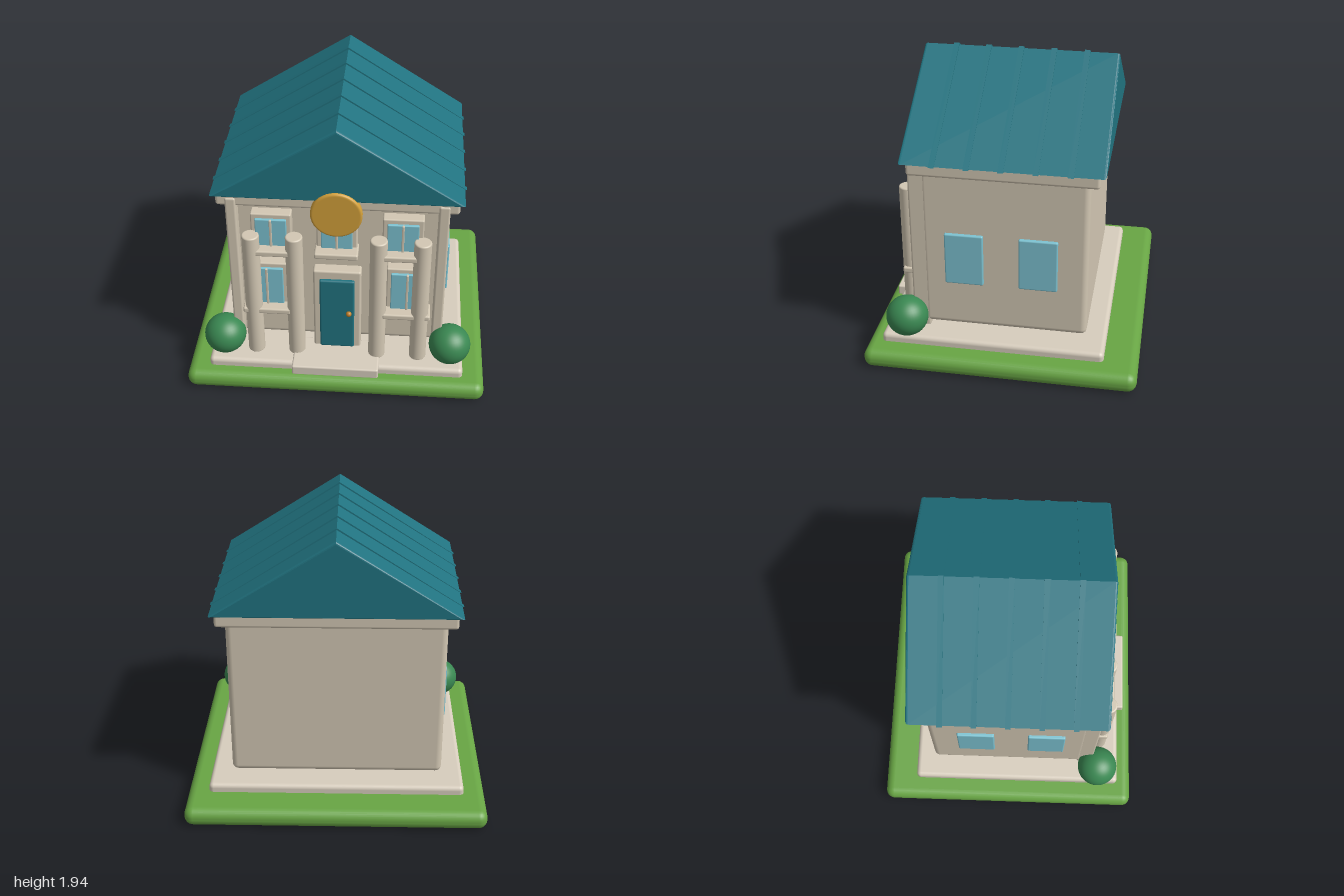
import * as THREE from 'three';
import { RoundedBoxGeometry } from 'three/addons/geometries/RoundedBoxGeometry.js';

const mat = (name, color) => new THREE.MeshStandardMaterial({ name, color });

export function createModel() {
  const model = new THREE.Group();
  model.name = 'townHouse';

  const lawnGreen = mat('lawnGreen', 0x68a544);
  const cream = mat('cream', 0xd2c7b3);
  const stone = mat('paleStone', 0xd7cdbd);
  const teal = mat('teal', 0x217380);
  const glass = mat('glassBlue', 0x7cc2d1);
  const gold = mat('gold', 0xd3a03a);
  const brass = mat('brass', 0xc0802a);
  const shrubGreen = mat('shrubGreen', 0x3a8852);

  const add = (name, geometry, material, x = 0, y = 0, z = 0) => {
    const mesh = new THREE.Mesh(geometry, material);
    mesh.name = name;
    mesh.position.set(x, y, z);
    model.add(mesh);
    return mesh;
  };

  // Rounded box given by its limits on each axis
  const block = (name, material, [x0, x1], [y0, y1], [z0, z1], r = 0.01) =>
    add(name, new RoundedBoxGeometry(x1 - x0, y1 - y0, z1 - z0, 3, r), material,
      (x0 + x1) / 2, (y0 + y1) / 2, (z0 + z1) / 2);

  // Upright cylinder with rounded rims, centred on its origin
  const roundedCylinder = (radius, height, bevel) => {
    const h = height / 2, inner = radius - bevel;
    const pts = [new THREE.Vector2(0, -h), new THREE.Vector2(inner * 0.97, -h)];
    for (const side of [-1, 1]) {
      for (let i = 0; i <= 4; i++) {
        const a = (side < 0 ? i - 4 : i) * Math.PI / 8;
        pts.push(new THREE.Vector2(inner + bevel * Math.cos(a), side * (h - bevel) + bevel * Math.sin(a)));
      }
    }
    pts.push(new THREE.Vector2(inner * 0.97, h), new THREE.Vector2(0, h));
    return new THREE.LatheGeometry(pts, 48);
  };

  // Gable prism running along z
  const gable = (halfWidth, base, top, length, bevel) => {
    const shape = new THREE.Shape();
    shape.moveTo(-halfWidth, base);
    shape.lineTo(halfWidth, base);
    shape.lineTo(0, top);
    shape.closePath();
    const g = new THREE.ExtrudeGeometry(shape, {
      depth: length - 2 * bevel, bevelEnabled: bevel > 0, bevelThickness: bevel,
      bevelSize: bevel, bevelOffset: -bevel, bevelSegments: 3,
    });
    return g.translate(0, 0, -length / 2 + bevel);
  };

  // Ground, plinth and step
  block('lawn', lawnGreen, [-1, 1], [0, 0.13], [-0.9, 0.9], 0.06);
  block('plinth', stone, [-0.855, 0.855], [0.1, 0.188], [-0.675, 0.8], 0.03);
  block('frontStep', stone, [-0.29, 0.29], [0.12, 0.197], [0.55, 0.845], 0.012);

  // Walls and cornice
  block('walls', cream, [-0.708, 0.708], [0.218, 1.4], [-0.545, 0.54], 0.04);
  block('cornice', cream, [-0.766, 0.766], [1.33, 1.424], [-0.605, 0.605], 0.02);

  // Roof with raised seams
  add('roof', gable(0.795, 1.42, 1.93, 1.284, 0.015), teal);
  for (let i = -2; i <= 2; i++) {
    add('roofSeam', gable(0.805, 1.417, 1.942, 0.036, 0), teal, 0, 0, i * 0.215);
  }

  // Framed window with a centre bar and a projecting sill
  const frontWindow = (x, bottom, top, half, sillHalf) => {
    block('windowFrame', cream, [x - half - 0.03, x + half + 0.03], [bottom - 0.03, top + 0.032], [0.52, 0.612]);
    block('windowGlass', glass, [x - half, x + half], [bottom, top], [0.6, 0.63], 0.006);
    block('windowBar', cream, [x - 0.008, x + 0.008], [bottom, top], [0.61, 0.64], 0.004);
    block('windowSill', cream, [x - sillHalf, x + sillHalf], [bottom - 0.02, bottom + 0.022], [0.56, 0.7], 0.012);
  };
  frontWindow(0, 1.028, 1.25, 0.1, 0.14);

  for (const s of [-1, 1]) {
    frontWindow(s * 0.42, 1.028, 1.25, 0.1, 0.14);
    frontWindow(s * 0.46, 0.545, 0.855, 0.107, 0.158);

    // Corner pilaster
    const px = s * 0.671;
    block('cornerPilaster', cream, [px - 0.035, px + 0.035], [0.188, 1.392], [0.5, 0.614], 0.014);

    // Free-standing columns
    for (const x of [0.27, 0.548]) {
      add('column', roundedCylinder(0.056, 0.97, 0.01), cream, s * x, 0.667, 0.657);
    }

    // Side windows
    for (const z of [0.259, -0.224]) {
      const wx = s * 0.714;
      block('sideWindow', glass, [wx - 0.016, wx + 0.016], [0.55, 0.915], [z - 0.126, z + 0.126]);
    }

    // Round shrub
    add('shrub', new THREE.SphereGeometry(0.14, 40, 24), shrubGreen, s * 0.762, 0.29, 0.645)
      .scale.y = 0.96;
  }

  // Door with frame and knob
  block('doorFrame', cream, [-0.158, 0.158], [0.19, 0.843], [0.52, 0.615], 0.014);
  block('door', teal, [-0.115, 0.115], [0.205, 0.78], [0.59, 0.638], 0.012);
  add('doorKnob', new THREE.SphereGeometry(0.019, 20, 14), brass, 0.08, 0.513, 0.648);

  // Gold disc over the entrance
  add('goldDisc', roundedCylinder(0.164, 0.05, 0.014), gold, 0, 1.325, 0.636).rotation.x = Math.PI / 2;

  return model;
}
